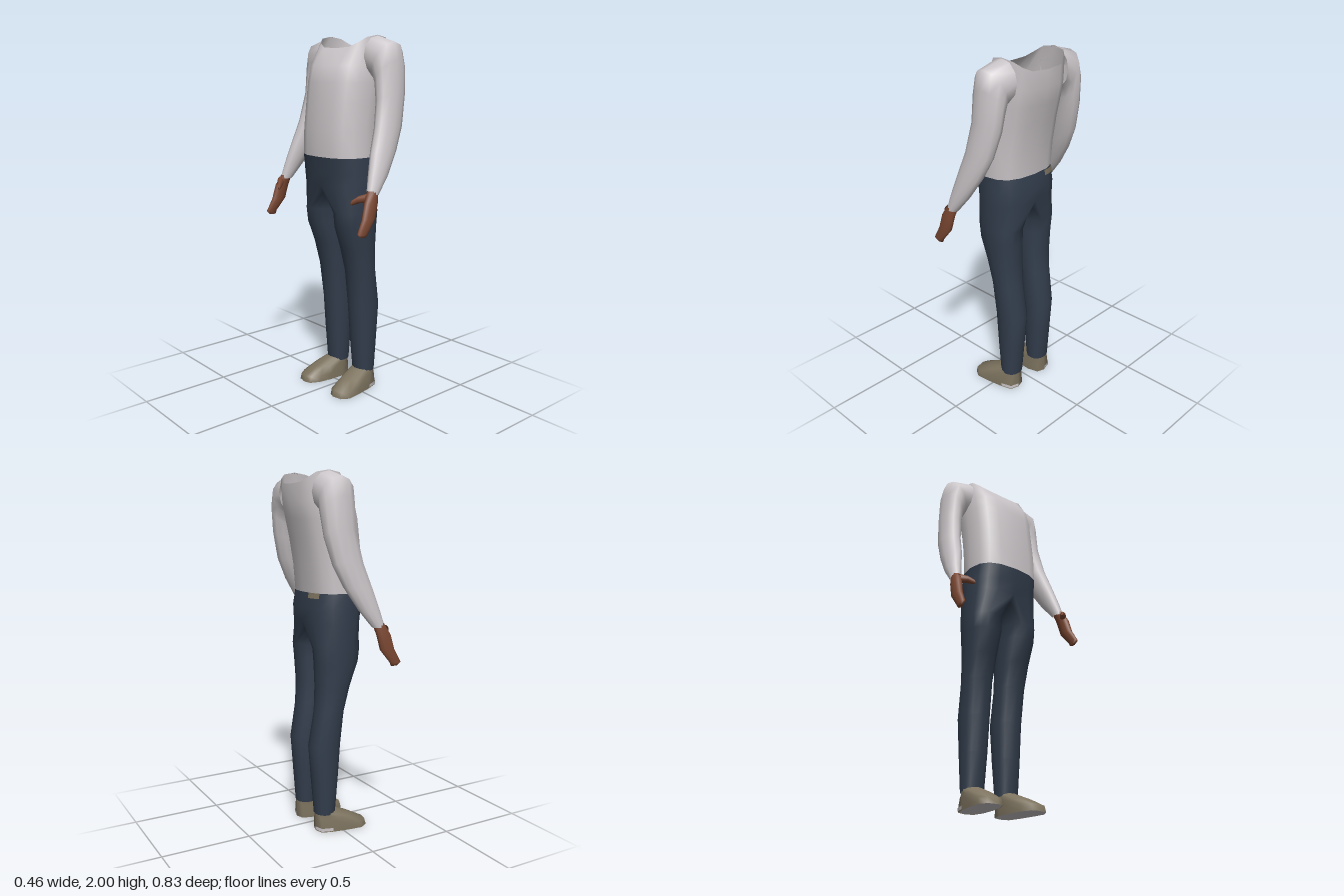
import * as THREE from 'three';
import { mergeGeometries, mergeVertices } from 'three/addons/utils/BufferGeometryUtils.js';

const mat = (name, color) => new THREE.MeshStandardMaterial({ name, color, side: THREE.DoubleSide });
const N = 16; // points in a torso or leg ring

const V = (x, y, z) => new THREE.Vector3(x, y, z);
const power = (v, p) => Math.sign(v) * Math.abs(v) ** p;

// Skin a list of equal-sized rings of points
function loft(rings, closed = true) {
  const n = rings[0].length, index = [];
  for (let r = 0; r < rings.length - 1; r++) {
    for (let i = 0; i < (closed ? n : n - 1); i++) {
      const a = r * n + i, b = r * n + (i + 1) % n;
      index.push(a, b, a + n, b, b + n, a + n);
    }
  }
  const g = new THREE.BufferGeometry().setFromPoints(rings.flat());
  g.setIndex(index);
  g.computeVertexNormals();
  return g;
}

// Level ring between x and z limits, starting at the chest side (-x)
function levelRing(y, x0, x1, z0, z1, p, n = N) {
  return Array.from({ length: n }, (_, i) => {
    const a = i / n * Math.PI * 2;
    return V((x0 + x1) / 2 - (x1 - x0) / 2 * power(Math.cos(a), p), y,
      (z0 + z1) / 2 + (z1 - z0) / 2 * power(Math.sin(a), p));
  });
}
const bodyRing = ([y, x0, x1, z], p = 0.75) => levelRing(y, x0, x1, -z, z, p);

// Tilted ring: radius rx along x, and a second radius (vy, vz)
function tiltedRing([cx, cy, cz, rx, vy, vz]) {
  return Array.from({ length: 12 }, (_, i) => {
    const a = i / 12 * Math.PI * 2, s = Math.sin(a);
    return V(cx - rx * Math.cos(a), cy + vy * s, cz + vz * s);
  });
}

const mirrorRing = (ring) => ring.map((_, i) => {
  const q = ring[(ring.length - i) % ring.length];
  return V(q.x, q.y, -q.z);
});

export function createModel() {
  const group = new THREE.Group();
  const shirt = mat('shirt white', 0xcbc6c9);
  const denim = mat('trouser navy', 0x323d4c);
  const skin = mat('skin brown', 0x7c4833);
  const leather = mat('shoe taupe', 0x7d735f);

  const add = (name, geometry, material) => {
    const m = new THREE.Mesh(geometry, material);
    m.name = name;
    group.add(m);
  };
  const addPair = (name, rings, material, closed = true) => {
    add(name + 'Left', loft(rings, closed), material);
    const flipped = closed ? rings.map(mirrorRing) : rings.map((r) => r.map((q) => V(q.x, q.y, -q.z)));
    add(name + 'Right', loft(flipped, closed), material);
  };

  // Shirt body, open at the neck with raised shoulder sides
  const neck = bodyRing([1.93, -0.035, 0.224, 0.193], 0.65);
  neck.forEach((q, i) => { q.y += 0.068 * Math.abs(Math.sin(i / N * Math.PI * 2)) ** 2.5; });
  const torso = [
    [1.355, -0.165, 0.146, 0.213], [1.5, -0.163, 0.16, 0.212], [1.65, -0.148, 0.187, 0.21],
    [1.75, -0.136, 0.21, 0.212], [1.84, -0.115, 0.228, 0.208],
  ].map((r) => bodyRing(r));
  add('shirtBody', loft([...torso, neck]), shirt);

  // Sleeves from shoulder to wrist
  addPair('sleeve', [
    [0.095, 1.885, 0.19, 0.1, 0.11, 0],
    [0.095, 1.86, 0.264, 0.1, 0.1, 0.055],
    [0.097, 1.79, 0.285, 0.098, 0.075, 0.055],
    [0.09, 1.67, 0.297, 0.092, 0.03, 0.056],
    [0.055, 1.52, 0.318, 0.09, 0.01, 0.051],
    [0.005, 1.4, 0.336, 0.083, 0, 0.048],
    [-0.052, 1.28, 0.358, 0.062, 0, 0.039],
    [-0.101, 1.19, 0.372, 0.036, 0, 0.029],
  ].map(tiltedRing), shirt);

  // Hands and thumbs
  addPair('hand', [
    [-0.1, 1.21, 0.371, 0.033, 0, 0.026],
    [-0.125, 1.15, 0.385, 0.043, 0, 0.025],
    [-0.146, 1.07, 0.391, 0.045, 0, 0.021],
    [-0.193, 1.0, 0.398, 0.035, -0.004, 0.016],
    [-0.188, 0.98, 0.396, 0.02, 0, 0.01],
    [-0.186, 0.978, 0.396, 0.001, 0, 0.001],
  ].map(tiltedRing), skin);
  addPair('thumb', [
    [-0.135, 1.175, 0.38, 0.026, 0.026, 0],
    [-0.165, 1.168, 0.345, 0.02, 0.02, 0],
    [-0.192, 1.15, 0.318, 0.011, 0.014, 0],
    [-0.2, 1.143, 0.309, 0.001, 0.001, 0],
  ].map(tiltedRing), skin);

  // Trousers: hips split at the crotch into two legs, welded for smooth shading
  const hips = [
    [1.355, -0.165, 0.146, 0.213], [1.27, -0.155, 0.16, 0.217], [1.2, -0.145, 0.154, 0.219],
  ].map((r) => bodyRing(r));
  const hem = hips[2];
  const legTop = hem.map((q, i) => {
    if (i <= N / 2) return q.clone();
    const t = (i - N / 2) / (N / 2);
    return V(THREE.MathUtils.lerp(hem[N / 2].x, hem[0].x, t), 1.2 - 0.065 * Math.sin(Math.PI * t) ** 0.6, 0);
  });
  const leg = [legTop, ...[
    [1.05, -0.127, 0.142, 0.02, 0.217], [0.97, -0.118, 0.135, 0.02, 0.214],
    [0.84, -0.07, 0.127, 0.022, 0.205], [0.7, -0.032, 0.132, 0.028, 0.197],
    [0.5, -0.013, 0.168, 0.03, 0.188], [0.3, 0.002, 0.153, 0.038, 0.182],
    [0.1, 0.02, 0.137, 0.05, 0.174],
  ].map((r) => levelRing(...r, 0.9))];
  const parts = [loft(hips), loft(leg), loft(leg.map(mirrorRing))];
  parts.forEach((g) => g.deleteAttribute('normal'));
  const trousers = mergeVertices(mergeGeometries(parts), 1e-4);
  trousers.computeVertexNormals();
  add('trousers', trousers, denim);

  // Small tan patch below the shirt at the back
  const patch = [[1.357, 0.151], [1.328, 0.156]].map(([y, x]) =>
    [-0.07, -0.105, -0.15].map((z) => V(x - 0.9 * Math.max(0, -z - 0.09) ** 1.3, y, z)));
  add('backPatch', loft(patch, false), leather);

  // Shoes: sole outline rising to the ankle
  const outline = [[-0.168, 0.13], [-0.157, 0.185], [-0.113, 0.212], [-0.03, 0.202], [0.06, 0.185],
    [0.122, 0.165], [0.137, 0.115], [0.122, 0.07], [0.06, 0.052], [-0.03, 0.056], [-0.1, 0.068], [-0.155, 0.095]];
  const ankle = levelRing(0.11, 0.015, 0.136, 0.055, 0.172, 1, 12);
  const shoeRing = (y, t) => outline.map(([x, z], i) =>
    V(x, y, z).lerp(V(ankle[i].x, y, ankle[i].z), t));
  ankle.forEach((q) => { q.y = 0.118 - 0.13 * (q.x - 0.015); });
  addPair('shoe', [shoeRing(0, 0), shoeRing(0.035, 0.05), shoeRing(0.078, 0.5), ankle], leather);

  // Pale soles and heel edging
  const base = shoeRing(0.001, 0);
  addPair('sole', [base, base.map(() => V(-0.015, 0.001, 0.125))], shirt);
  const edge = (y) => [4, 5, 6].map((i) => V(outline[i][0] + 0.002, y, outline[i][1] + 0.002));
  addPair('heelEdge', [edge(0.006), edge(0.024)], shirt, false);

  return group;
}
